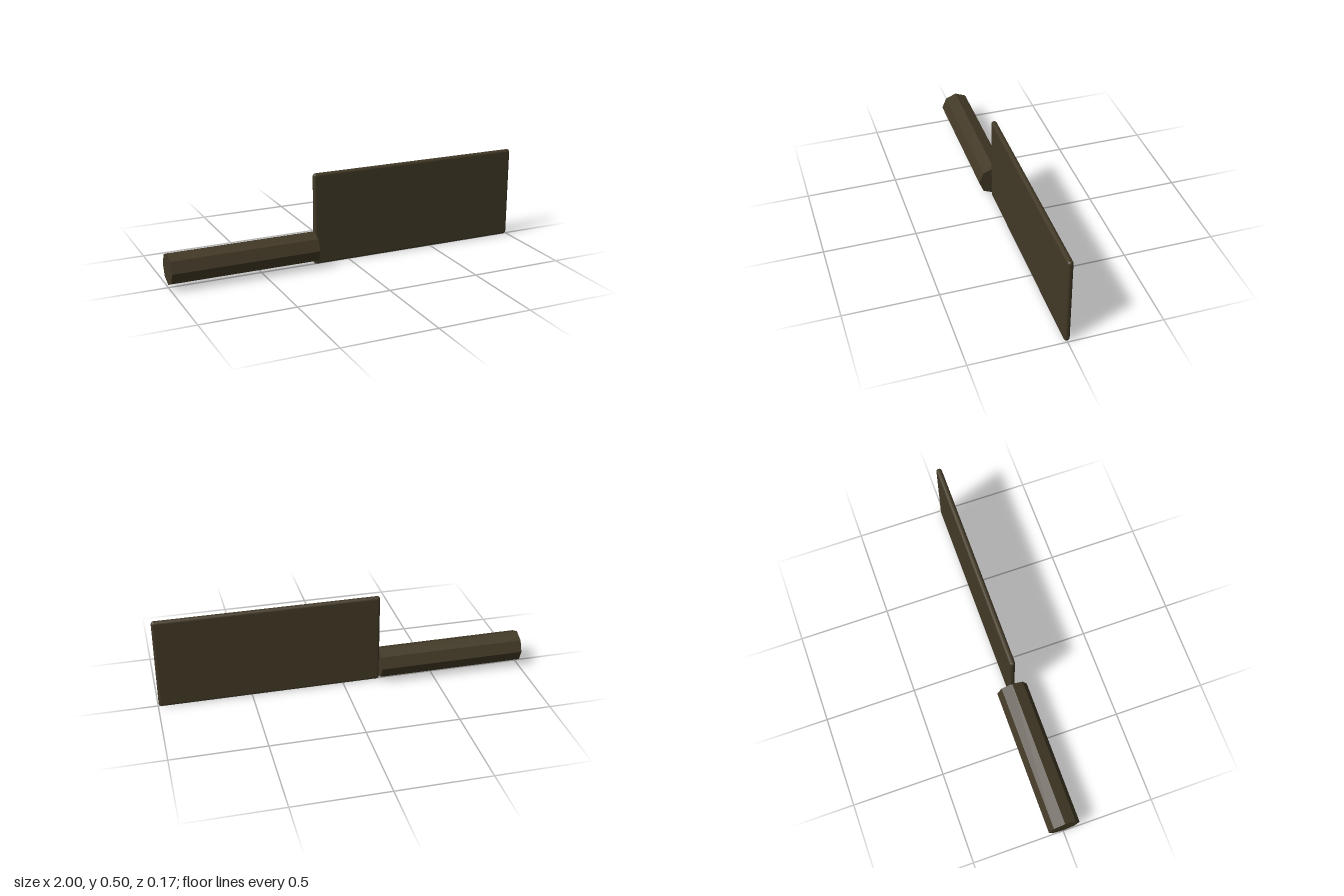
import * as THREE from 'three';
import { RoundedBoxGeometry } from 'three/addons/geometries/RoundedBoxGeometry.js';

export function createModel() {
  const model = new THREE.Group();
  model.name = 'cleaver';

  // One dark brown, faceted on the handle and smooth on the blade
  const handleBrown = new THREE.MeshStandardMaterial({ color: 0x423926, flatShading: true });
  handleBrown.name = 'dark brown handle';
  const bladeBrown = new THREE.MeshStandardMaterial({ color: 0x423926 });
  bladeBrown.name = 'dark brown blade';

  // Eight-sided handle lying along x
  const handle = new THREE.Mesh(new THREE.CylinderGeometry(0.085, 0.085, 0.8, 8), handleBrown);
  handle.name = 'handle';
  handle.rotation.z = Math.PI / 2;
  handle.position.set(-0.6, 0.1, 0);

  // Broad flat blade with softened edges
  const blade = new THREE.Mesh(new RoundedBoxGeometry(1.2, 0.502, 0.031, 2, 0.0145), bladeBrown);
  blade.name = 'blade';
  blade.position.set(0.397, 0.251, 0);

  model.add(handle, blade);
  return model;
}
